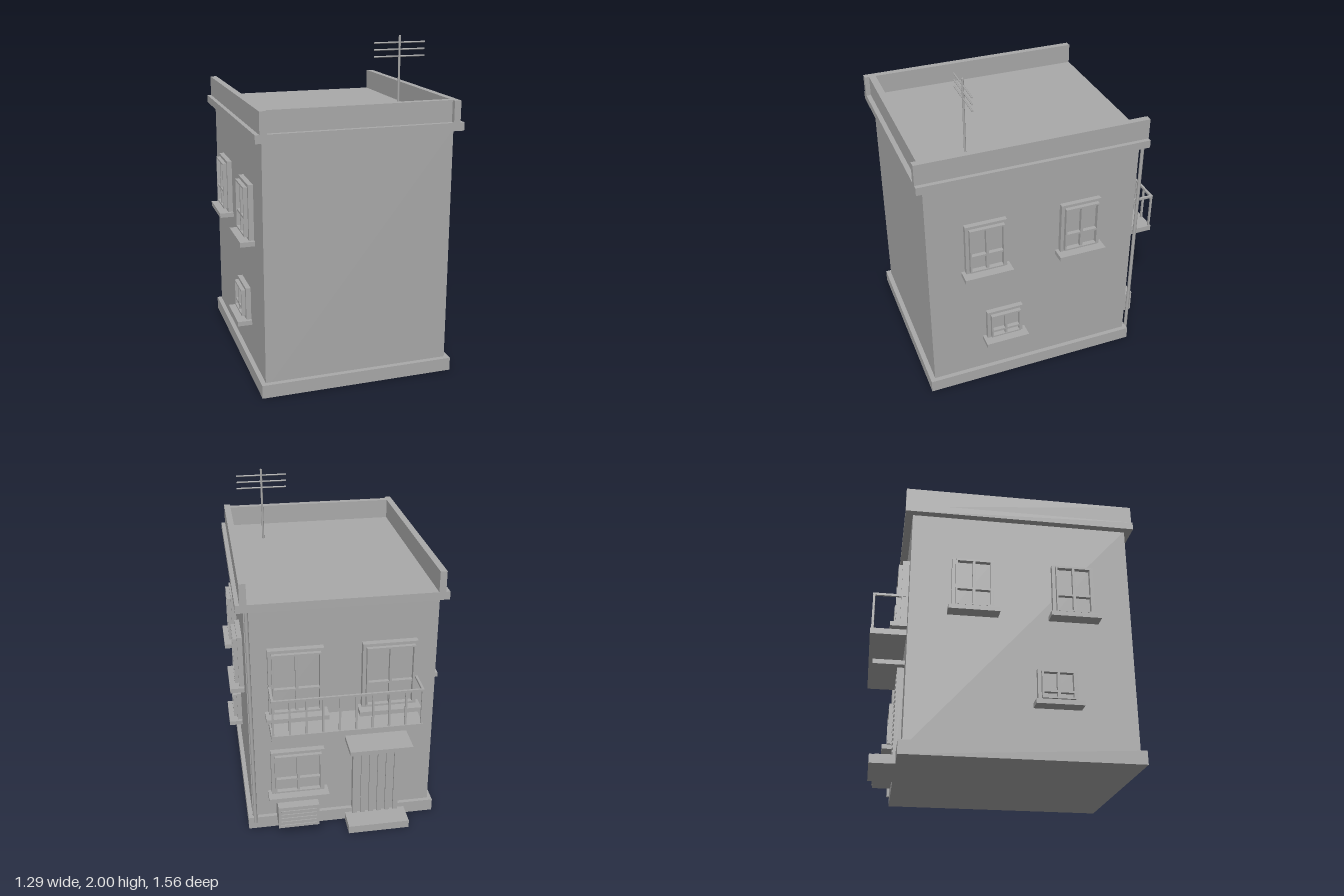
import * as THREE from 'three';

const concrete = new THREE.MeshStandardMaterial({ color: 0xaaaaaa });
concrete.name = 'concrete grey';

// Box given by its min and max on each axis
function box(parent, name, x0, x1, y0, y1, z0, z1) {
  const m = new THREE.Mesh(new THREE.BoxGeometry(x1 - x0, y1 - y0, z1 - z0), concrete);
  m.position.set((x0 + x1) / 2, (y0 + y1) / 2, (z0 + z1) / 2);
  m.name = name;
  parent.add(m);
  return m;
}

function rod(parent, name, r, length, x, y, z, axis = 'y') {
  const g = new THREE.CylinderGeometry(r, r, length, 8);
  if (axis === 'x') g.rotateZ(Math.PI / 2);
  const m = new THREE.Mesh(g, concrete);
  m.position.set(x, y, z);
  m.name = name;
  parent.add(m);
}

// Rectangular frame with an opening, extruded towards +z
function frame(parent, name, w, h, border, z0, z1) {
  const rect = (P, a, b) => new P([[-a, -b], [a, -b], [a, b], [-a, b]].map(p => new THREE.Vector2(...p)));
  const s = rect(THREE.Shape, w / 2, h / 2);
  s.holes.push(rect(THREE.Path, w / 2 - border, h / 2 - border));
  const m = new THREE.Mesh(new THREE.ExtrudeGeometry(s, { depth: z1 - z0, bevelEnabled: false }), concrete);
  m.position.z = z0;
  m.name = name;
  parent.add(m);
}

// Window facing +z with its back on the wall at z = 0
function makeWindow(w, h, d = 0.03) {
  const g = new THREE.Group();
  g.name = 'window';
  const sw = w - 0.04, sh = h - 0.035, f = d + 0.024;
  frame(g, 'windowFrame', w, h, 0.02, -0.01, d);
  frame(g, 'windowSash', sw, sh, 0.01, 0, f);
  box(g, 'windowPane', -sw / 2, sw / 2, -sh / 2, sh / 2, -0.01, d - 0.005);
  box(g, 'mullion', -0.008, 0.008, -sh / 2, sh / 2, 0, f - 0.004);
  box(g, 'transom', -sw / 2, sw / 2, -0.045, -0.033, 0, f - 0.004);
  box(g, 'windowSill', -w / 2 - 0.022, w / 2 + 0.022, -h / 2 - 0.028, -h / 2, -0.01, d + 0.057);
  return g;
}

export function createModel() {
  const house = new THREE.Group();
  house.name = 'house';

  // Walls, plinth and roof
  box(house, 'walls', -0.56, 0.56, 0.04, 1.5, -0.575, 0.735);
  box(house, 'plinth', -0.587, 0.587, 0, 0.08, -0.6, 0.765);
  box(house, 'roofSlab', -0.605, 0.605, 1.492, 1.54, -0.62, 0.78);
  for (const s of [-1, 1]) {
    const side = box(house, 'sideParapet', -0.02, 0.02, 1.535, 1.665, -0.62, 0.78);
    side.position.x = s * 0.56;
  }
  box(house, 'frontParapet', -0.54, 0.54, 1.535, 1.665, 0.71, 0.752);

  // Side windows, the same on both walls
  for (const s of [-1, 1]) {
    for (const [z, y, w, h] of [[0.387, 1.036, 0.253, 0.33], [-0.207, 1.036, 0.253, 0.33], [0.275, 0.43, 0.23, 0.2]]) {
      const win = makeWindow(w, h);
      win.rotation.y = s * Math.PI / 2;
      win.position.set(s * 0.56, y, z);
      house.add(win);
    }
  }

  // Rear windows
  for (const [x, y, h] of [[-0.275, 1.035, 0.415], [0.275, 1.035, 0.415], [0.275, 0.408, 0.295]]) {
    const win = makeWindow(0.325, h, 0.04);
    win.rotation.y = Math.PI;
    win.position.set(x, y, -0.575);
    house.add(win);
  }

  // Balcony with railing
  const balcony = new THREE.Group();
  balcony.name = 'balcony';
  house.add(balcony);
  box(balcony, 'balconySlab', -0.443, 0.443, 0.75, 0.785, -0.784, -0.57);
  box(balcony, 'frontRail', -0.438, 0.438, 1.0, 1.014, -0.78, -0.766);
  for (const s of [-1, 1]) {
    const rail = box(balcony, 'sideRail', -0.007, 0.007, 1.0, 1.014, -0.78, -0.57);
    rail.position.x = s * 0.433;
  }
  for (let i = 0; i < 10; i++) {
    const x = -0.433 + i * 0.866 / 9;
    box(balcony, 'baluster', x - 0.006, x + 0.006, 0.78, 1.005, -0.779, -0.767);
  }

  // Doorway: step, canopy and ribbed door
  box(house, 'doorStep', -0.4, -0.02, 0, 0.05, -0.745, -0.59);
  box(house, 'doorCanopy', -0.4, -0.02, 0.583, 0.61, -0.758, -0.57);
  box(house, 'door', -0.355, -0.065, 0.05, 0.583, -0.602, -0.57);
  for (let i = 0; i < 6; i++) {
    const x = -0.355 + i * 0.052;
    box(house, 'doorRib', x, x + 0.03, 0.05, 0.583, -0.616, -0.6);
  }

  // Air conditioner under the rear window
  box(house, 'airConditioner', 0.16, 0.41, 0.07, 0.22, -0.713, -0.57);
  for (let i = 0; i < 5; i++) {
    const y = 0.083 + i * 0.026;
    box(house, 'airConditionerSlat', 0.175, 0.395, y, y + 0.01, -0.719, -0.71);
  }

  // Downpipe and roof aerial
  rod(house, 'downpipe', 0.011, 1.45, 0.545, 0.775, -0.607);
  rod(house, 'aerialMast', 0.007, 0.465, 0.35, 1.7675, 0.42);
  for (const y of [1.88, 1.92, 1.96]) rod(house, 'aerialBar', 0.005, 0.315, 0.35, y, 0.42, 'x');

  return house;
}
